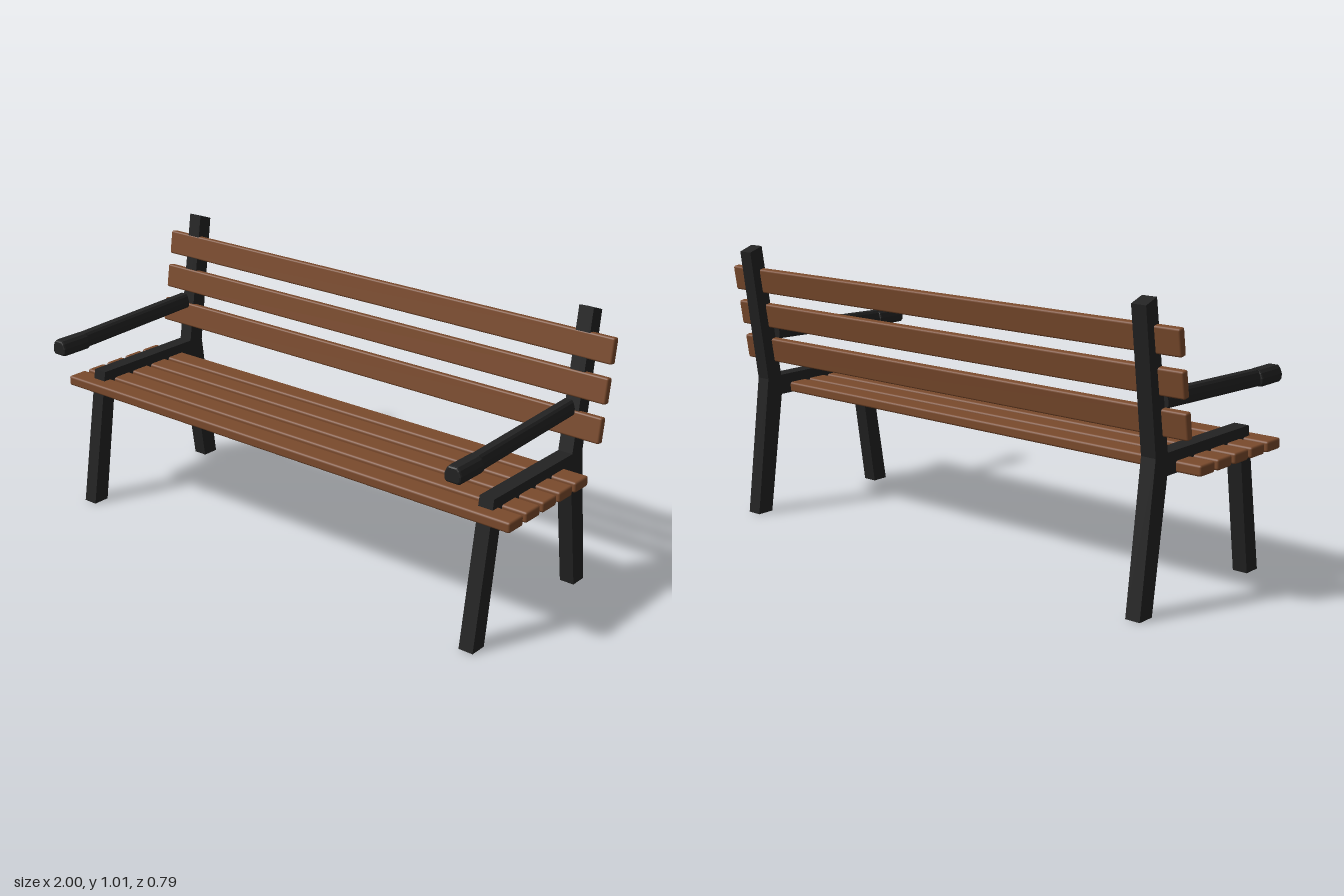
import * as THREE from 'three';
import { RoundedBoxGeometry } from 'three/addons/geometries/RoundedBoxGeometry.js';

const wood = new THREE.MeshStandardMaterial({ color: 0x7a4a2c });
wood.name = 'brownWood';
const iron = new THREE.MeshStandardMaterial({ color: 0x222222 });
iron.name = 'blackMetal';

const shapeOf = (points) => new THREE.Shape(points.map(([a, b]) => new THREE.Vector2(a, b)));

function addMesh(parent, name, geometry, material) {
  const mesh = new THREE.Mesh(geometry, material);
  mesh.name = name;
  parent.add(mesh);
  return mesh;
}

// Outline drawn in (z, y), given thickness along x and centred on x = 0
function sidePlate(points, width) {
  const geometry = new THREE.ExtrudeGeometry(shapeOf(points), { depth: width, bevelEnabled: false });
  geometry.translate(0, 0, -width / 2);
  geometry.rotateY(-Math.PI / 2);
  return geometry;
}

// Arm cross-section: wide at the base, tapering to a rounded top
function armSection(w, h) {
  return shapeOf([
    [-0.4 * w, -0.5 * h], [0.4 * w, -0.5 * h], [0.5 * w, -0.36 * h], [0.5 * w, -0.02 * h],
    [0.38 * w, 0.34 * h], [0.26 * w, 0.5 * h], [-0.26 * w, 0.5 * h], [-0.38 * w, 0.34 * h],
    [-0.5 * w, -0.02 * h], [-0.5 * w, -0.36 * h],
  ]);
}

function sideFrame(name, x) {
  const frame = new THREE.Group();
  frame.name = name;
  frame.position.x = x;

  // Legs, seat beam and bent back post as one outline
  addMesh(frame, 'legFrame', sidePlate([
    [0.285, 0], [0.2, 0.517], [-0.264, 0.517], [-0.34, 1.011], [-0.395, 0.992],
    [-0.328, 0.51], [-0.395, 0], [-0.33, 0], [-0.264, 0.443], [0.155, 0.443], [0.221, 0],
  ], 0.055), iron);

  // Armrest bar, rising gently towards the back
  const bar = new THREE.ExtrudeGeometry(armSection(0.05, 0.053), { depth: 0.55, bevelEnabled: false });
  const p = bar.attributes.position;
  for (let i = 0; i < p.count; i++) p.setY(i, p.getY(i) - 0.035 * p.getZ(i));
  bar.computeVertexNormals();
  addMesh(frame, 'armrestBar', bar, iron).position.set(0, 0.682, -0.264);

  // Thicker hand grip with softened ends
  const grip = new THREE.ExtrudeGeometry(armSection(0.052, 0.044), {
    depth: 0.112, bevelThickness: 0.008, bevelSize: 0.006, bevelSegments: 2,
  });
  addMesh(frame, 'handGrip', grip, iron).position.set(0, 0.661, 0.276);
  return frame;
}

export function createModel() {
  const bench = new THREE.Group();
  bench.name = 'bench';

  bench.add(sideFrame('leftFrame', 0.88), sideFrame('rightFrame', -0.88));

  // Seat slats
  const seat = new THREE.Group();
  seat.name = 'seat';
  const seatSlat = new RoundedBoxGeometry(2, 0.037, 0.08, 2, 0.008);
  for (let i = 0; i < 5; i++) {
    addMesh(seat, 'seatSlat', seatSlat, wood).position.set(0, 0.463, 0.21 - i * 0.097);
  }

  // Leaning backrest slats
  const backrest = new THREE.Group();
  backrest.name = 'backrest';
  const backSlat = new RoundedBoxGeometry(2, 0.09, 0.028, 2, 0.007);
  for (let i = 0; i < 3; i++) {
    const slat = addMesh(backrest, 'backSlat', backSlat, wood);
    slat.position.set(0, 0.618 + i * 0.1325, -0.286 - i * 0.0235);
    slat.rotation.x = -0.155;
  }

  bench.add(seat, backrest);
  return bench;
}
